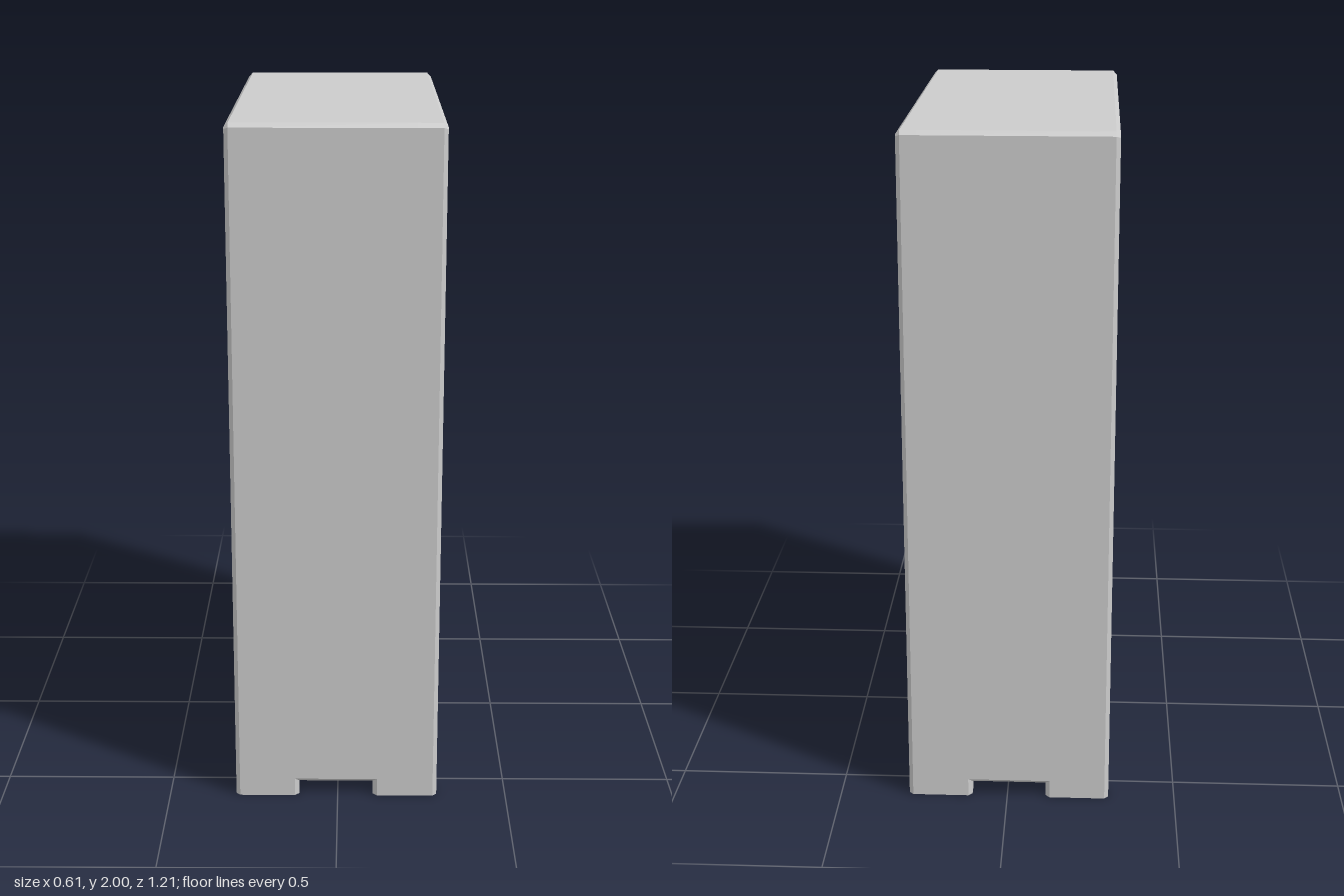
import * as THREE from 'three';

const C = 0.012; // chamfer used on every edge
const W = 0.603, LEG = 0.545, FRONT = 0.295, BACK = -0.303;

const material = new THREE.MeshStandardMaterial({ color: 0xcccccc, flatShading: true });
const smooth = new THREE.MeshStandardMaterial({ color: 0xcccccc });

function polygon(points, Type = THREE.Shape) {
  return new Type(points.map(([x, y]) => new THREE.Vector2(x, y)));
}

function rect(x0, x1, y0, y1, Type) {
  return polygon([[x0, y0], [x1, y0], [x1, y1], [x0, y1]], Type);
}

// Chamfered slab filling z0..z1, its widest section equal to the shape
function slab(name, shape, z0, z1, bevel = C) {
  const geometry = new THREE.ExtrudeGeometry(shape, {
    depth: z1 - z0 - 2 * bevel, bevelEnabled: true, bevelSegments: 1,
    bevelSize: bevel, bevelThickness: bevel, bevelOffset: -bevel,
  });
  geometry.translate(0, 0, z0 + bevel);
  const mesh = new THREE.Mesh(geometry, material);
  mesh.name = name;
  return mesh;
}

// Arched cabinet outline: two side legs joined above the floor gap
function cabinetOutline() {
  const foot = 0.043;
  return polygon([
    [LEG, foot], [W - C, foot], [W, foot + C], [W, 2 - C], [W - C, 2],
    [C - W, 2], [-W, 2 - C], [-W, foot + C], [C - W, foot], [-LEG, foot],
    [-LEG, 0.172], [LEG, 0.172],
  ]);
}

// Foot block with chamfered vertical corners
function foot(side, z0, z1) {
  const a = LEG, b = W;
  const plan = polygon([
    [a + C, z0], [b - C, z0], [b, z0 + C], [b, z1 - C],
    [b - C, z1], [a + C, z1], [a, z1 - C], [a, z0 + C],
  ].map(([x, z]) => [x * side, -z]));
  const geometry = new THREE.ExtrudeGeometry(plan, { depth: 0.065, bevelEnabled: false });
  geometry.rotateX(-Math.PI / 2);
  const mesh = new THREE.Mesh(geometry, material);
  mesh.name = 'foot';
  return mesh;
}

// Round pull plate with a small stud near its top
function pull(x, y) {
  const group = new THREE.Group();
  group.name = 'pull';
  const add = (name, r, z0, z1, dy) => {
    const geometry = new THREE.CylinderGeometry(r, r, z1 - z0, 24).rotateX(Math.PI / 2);
    const mesh = new THREE.Mesh(geometry, smooth);
    mesh.name = name;
    mesh.position.set(0, dy, (z0 + z1) / 2);
    group.add(mesh);
  };
  add('pullPlate', 0.025, 0.28, 0.297, 0);
  add('pullStud', 0.007, 0.28, 0.303, 0.018);
  group.position.set(x, y, 0);
  return group;
}

export function createModel() {
  const model = new THREE.Group();
  model.name = 'wardrobe';

  // Carcass behind, face frame with openings in front
  model.add(slab('carcass', cabinetOutline(), BACK, 0.25));
  const face = cabinetOutline();
  face.holes.push(rect(-0.535, 0.535, 0.522, 1.945, THREE.Path));
  for (const [x0, x1] of [[-0.535, -0.017], [0.017, 0.535]]) {
    face.holes.push(rect(x0, x1, 0.222, 0.463, THREE.Path));
  }
  model.add(slab('faceFrame', face, 0.2, FRONT));

  for (const side of [-1, 1]) {
    // Doors and drawers sit slightly behind the frame
    const span = (a, b) => (side > 0 ? [a, b] : [-b, -a]);
    model.add(slab('door', rect(...span(0.001, 0.535), 0.522, 1.945), 0.23, 0.284, 0.005));
    model.add(slab('drawerFront', rect(...span(0.017, 0.535), 0.222, 0.463), 0.23, 0.284, 0.005));
    model.add(pull(side * 0.06, 1.375), pull(side * 0.277, 0.323));

    // Front and back feet leave a notch in each side
    model.add(foot(side, 0.105, FRONT), foot(side, BACK, -0.115));
  }

  // The doors face +x
  model.rotation.y = Math.PI / 2;
  const root = new THREE.Group();
  root.name = 'cabinet';
  root.add(model);
  return root;
}
